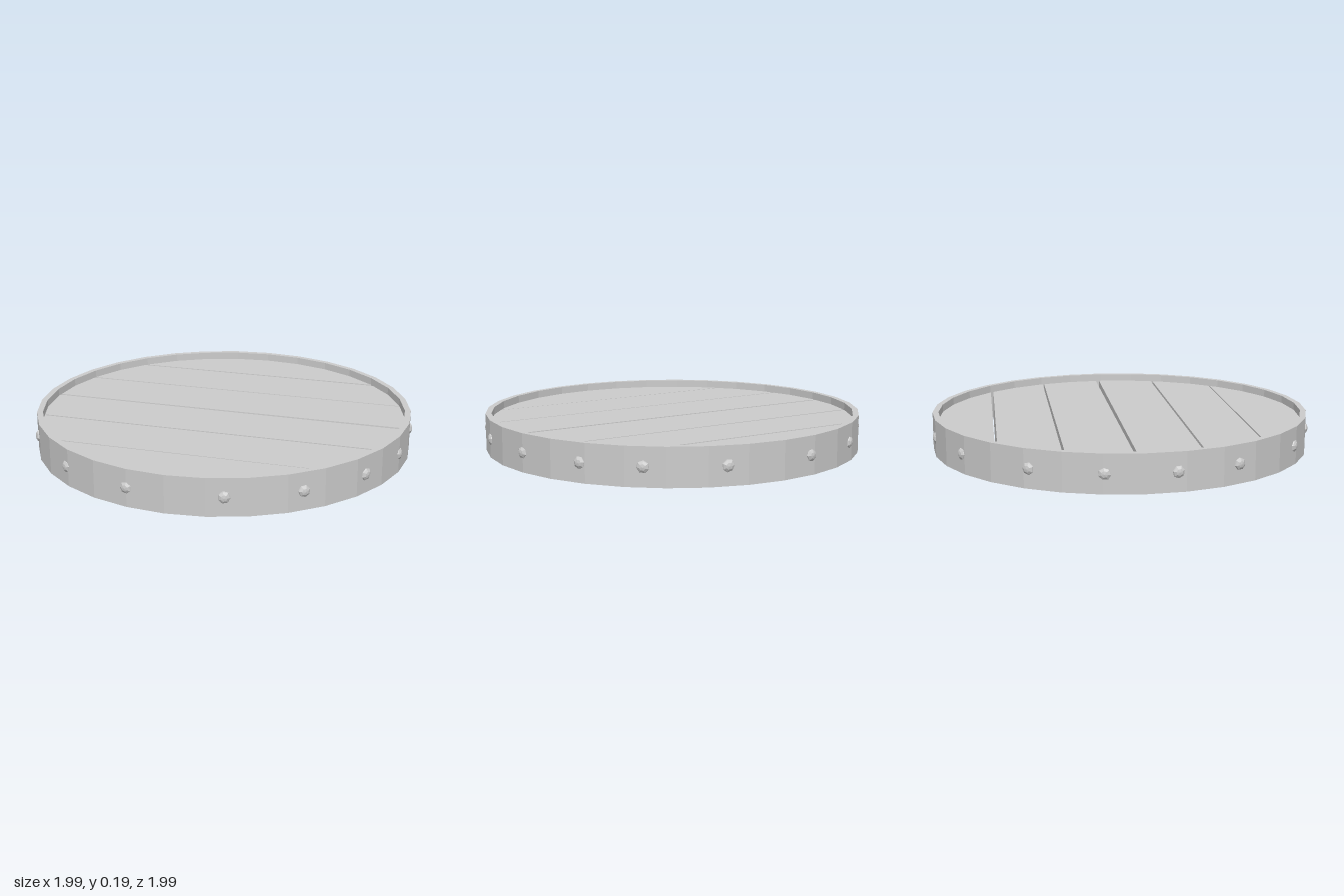
import * as THREE from 'three';

const material = new THREE.MeshStandardMaterial({ color: 0xcccccc, flatShading: true });
const HEIGHT = 0.195, OUTER = 0.997, INNER = 0.966;
const BOARD_RADIUS = 0.966, BOARD_BOTTOM = 0.035, BOARD_TOP = 0.155;

function addMesh(group, geometry, name) {
  const mesh = new THREE.Mesh(geometry, material);
  mesh.name = name;
  group.add(mesh);
  return mesh;
}

// Edge of a board: z at its left (-x) and right (+x) ends, and how far its underside leans in z
const edge = (left, right, lean = 0) => ({ left, right, lean });

// Slice of a disc between two edges, with the underside of each straight edge leaned
function boardGeometry(back, front) {
  const R = BOARD_RADIUS, steps = 12, points = [];
  const angle = z => Math.asin(THREE.MathUtils.clamp(z / R, -1, 1));
  const arc = (from, to, side) => {
    for (let i = 0; i <= steps; i++) {
      const a = THREE.MathUtils.lerp(angle(from), angle(to), i / steps);
      points.push(new THREE.Vector2(side * R * Math.cos(a), -R * Math.sin(a)));
    }
  };
  arc(front.right, back.right, 1);
  arc(back.left, front.left, -1);
  const geometry = new THREE.ExtrudeGeometry(new THREE.Shape(points), {
    depth: BOARD_TOP - BOARD_BOTTOM, bevelEnabled: false,
  });
  geometry.rotateX(-Math.PI / 2);
  const p = geometry.attributes.position;
  for (let i = 0; i < p.count; i++) {
    if (p.getY(i) > 0.01) continue;
    for (const e of [back, front]) {
      const half = side => Math.sqrt(Math.max(0, R * R - side * side));
      const t = (p.getX(i) + half(e.left)) / (half(e.left) + half(e.right) || 1);
      if (Math.abs(p.getZ(i) - THREE.MathUtils.lerp(e.left, e.right, t)) < 1e-4) {
        p.setZ(i, p.getZ(i) + e.lean);
        break;
      }
    }
  }
  geometry.translate(0, BOARD_BOTTOM, 0);
  geometry.computeVertexNormals();
  return geometry;
}

export function createModel() {
  const model = new THREE.Group();
  model.name = 'roundLid';

  // Faceted metal hoop
  const profile = [[OUTER, 0], [OUTER, HEIGHT], [INNER, HEIGHT], [INNER, 0], [OUTER, 0]];
  addMesh(model, new THREE.LatheGeometry(profile.map(([r, y]) => new THREE.Vector2(r, y)), 32), 'hoop');

  // Six boards, separated by narrow uneven gaps: [edge before gap, edge after gap]
  const R = BOARD_RADIUS;
  const gaps = [
    [edge(-0.682, -0.680, 0.004), edge(-0.670, -0.665, -0.004)],
    [edge(-0.368, -0.362, 0.010), edge(-0.356, -0.353, 0.002)],
    [edge(-0.033, -0.028, 0.008), edge(-0.019, -0.008, 0)],
    [edge(0.302, 0.308, 0), edge(0.313, 0.319, -0.010)],
    [edge(0.630, 0.636, 0), edge(0.638, 0.640, 0)],
  ];
  const boards = new THREE.Group();
  boards.name = 'boards';
  model.add(boards);
  for (let i = 0; i <= gaps.length; i++) {
    const back = i === 0 ? edge(-R, -R) : gaps[i - 1][1];
    const front = i === gaps.length ? edge(R, R) : gaps[i][0];
    addMesh(boards, boardGeometry(back, front), `board${i + 1}`);
  }

  // Flattened, roughly hammered rivets around the hoop, in degrees from the front
  const rivets = new THREE.Group();
  rivets.name = 'rivets';
  model.add(rivets);
  const rivetGeometry = new THREE.SphereGeometry(0.034, 7, 6);
  rivetGeometry.rotateX(Math.PI / 2);
  rivetGeometry.scale(1, 0.95, 0.62);
  const degrees = [-11.5, 16.3, 38.5, 60, 79, 101, 122, 140, 163, 190, 212, 237.5, 259, 279, 298, 325];
  degrees.forEach((d, i) => {
    const a = THREE.MathUtils.degToRad(d);
    const rivet = addMesh(rivets, rivetGeometry, `rivet${i + 1}`);
    rivet.position.set(0.988 * Math.sin(a), 0.098, 0.988 * Math.cos(a));
    rivet.rotation.set(0, a, i * 1.3, 'YXZ');
  });

  return model;
}
